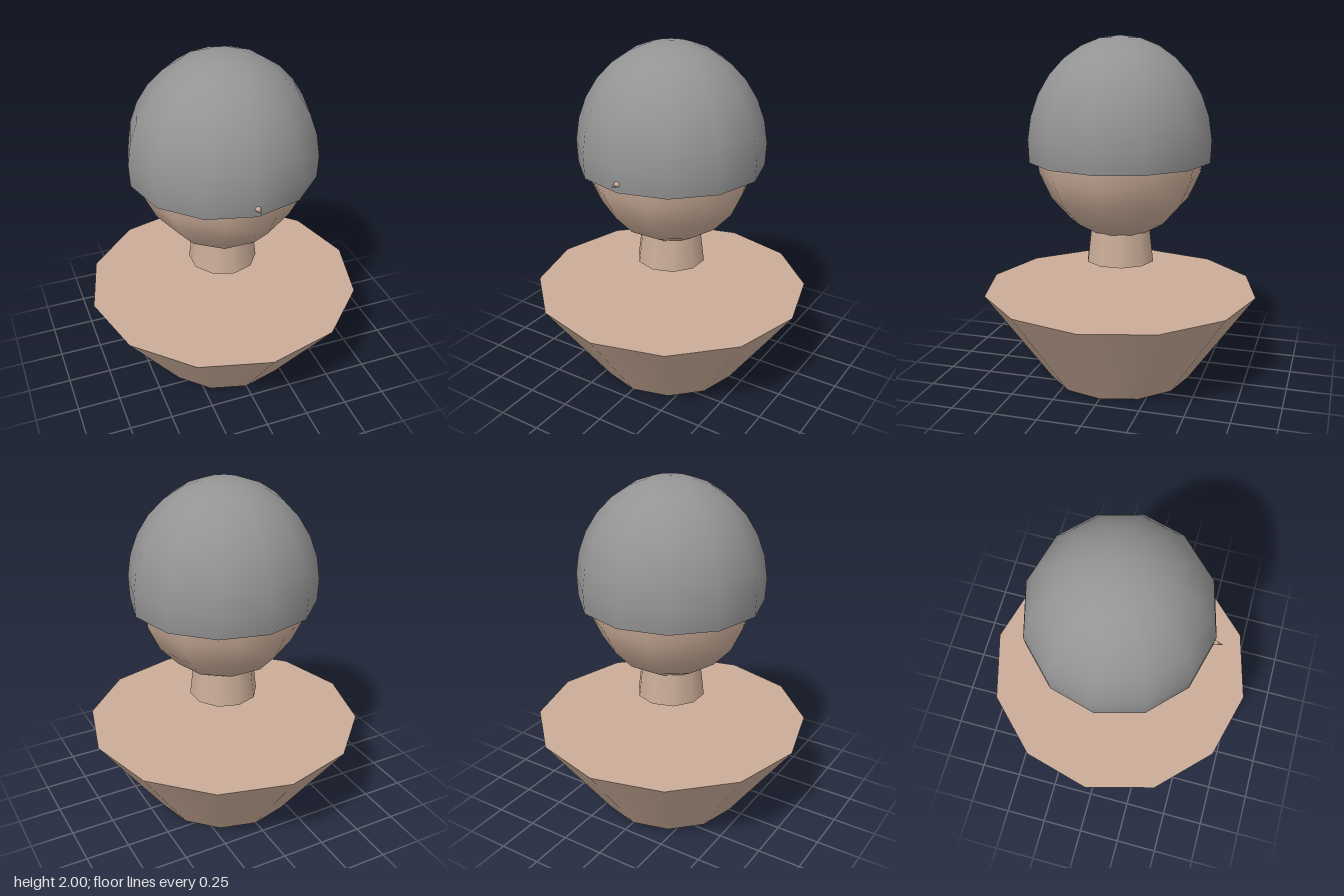
import * as THREE from 'three';

export function createModel() {
  const model = new THREE.Group();
  model.name = 'bust';

  const skin = new THREE.MeshStandardMaterial({ color: 0xcaac98 });
  skin.name = 'skin';
  const grey = new THREE.MeshStandardMaterial({ color: 0x949494, side: THREE.DoubleSide });
  grey.name = 'cap grey';

  const add = (name, geometry, material, y, z = 0) => {
    const mesh = new THREE.Mesh(geometry, material);
    mesh.name = name;
    mesh.position.set(0, y, z);
    model.add(mesh);
    return mesh;
  };

  // Shoulders: a flat-topped tapered block, wide at the top
  add('torso', new THREE.CylinderGeometry(0.803, 0.42, 0.535, 12), skin, 0.2675);

  // Floating neck, its top hidden inside the head
  add('neck', new THREE.CylinderGeometry(0.173, 0.2, 0.23, 10), skin, 0.82);

  // Slightly tall head
  add('head', new THREE.SphereGeometry(0.49, 10, 10), skin, 1.385).scale.y = 1.09;

  // Open cap, a little more than half a sphere
  const cap = new THREE.SphereGeometry(1, 12, 8, 0, Math.PI * 2, 0, Math.PI * 0.55);
  add('cap', cap, grey, 1.395).scale.set(0.54, 0.605, 0.53);

  // Tiny pointed nose poking out under the cap front
  const nose = new THREE.ConeGeometry(0.032, 0.1, 8);
  nose.rotateX(Math.PI / 2);
  add('nose', nose, skin, 1.35, 0.525);

  return model;
}
